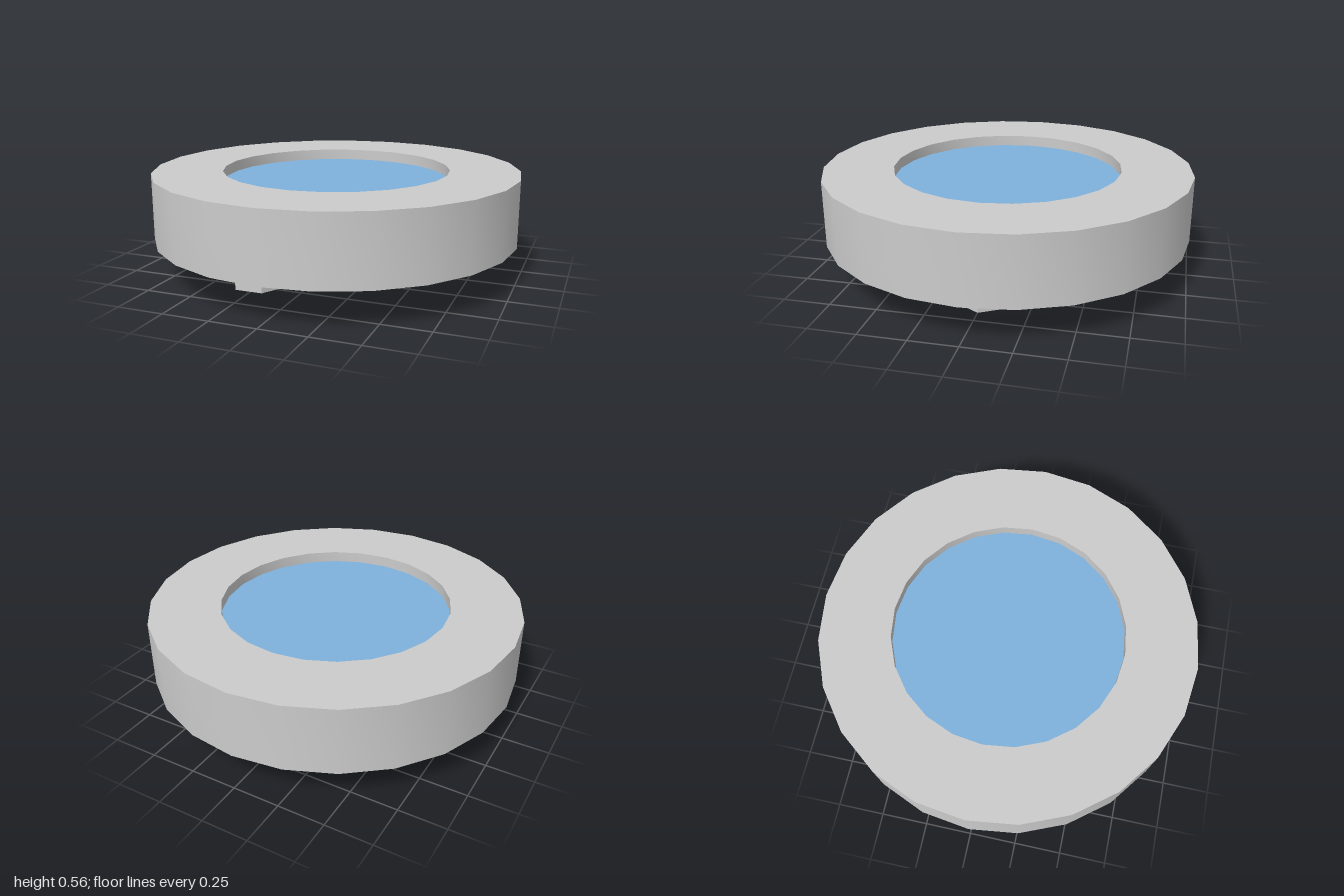
import * as THREE from 'three';
import { toCreasedNormals } from 'three/addons/utils/BufferGeometryUtils.js';

const SIDES = 24;
const RIM_INNER = 0.62;
const BASE_Y = 0.2, TOP_Y = 0.56, SURFACE_Y = 0.5;

export function createModel() {
  const model = new THREE.Group();
  model.name = 'roundBasin';
  const grey = new THREE.MeshStandardMaterial({ color: 0xcccccc });
  const flatGrey = new THREE.MeshStandardMaterial({ color: 0xcccccc, flatShading: true });
  const blue = new THREE.MeshStandardMaterial({ color: 0x7eb0dc });

  // Body: underside, outer wall, flat rim and recess wall in one profile
  const profile = [
    [0, BASE_Y], [1, BASE_Y], [1, TOP_Y], [RIM_INNER, TOP_Y], [RIM_INNER, SURFACE_Y],
  ].map(([r, y]) => new THREE.Vector2(r, y));
  const body = new THREE.Mesh(
    toCreasedNormals(new THREE.LatheGeometry(profile, SIDES), Math.PI / 6), grey);
  body.name = 'body';
  model.add(body);

  // Blue disc sunk slightly below the rim
  const surface = new THREE.Mesh(
    new THREE.CircleGeometry(RIM_INNER, SIDES).rotateX(-Math.PI / 2), blue);
  surface.name = 'recessedSurface';
  surface.position.y = SURFACE_Y;
  model.add(surface);

  // Three hexagonal feet, all with a corner pointing along x
  const footGeometry = new THREE.CylinderGeometry(0.15, 0.15, BASE_Y, 6).rotateY(Math.PI / 2);
  for (let i = 0; i < 3; i++) {
    const angle = (i * Math.PI * 2) / 3;
    const foot = new THREE.Mesh(footGeometry, flatGrey);
    foot.name = `foot${i + 1}`;
    foot.position.set(0.52 * Math.cos(angle), BASE_Y / 2, 0.52 * Math.sin(angle));
    model.add(foot);
  }
  return model;
}
